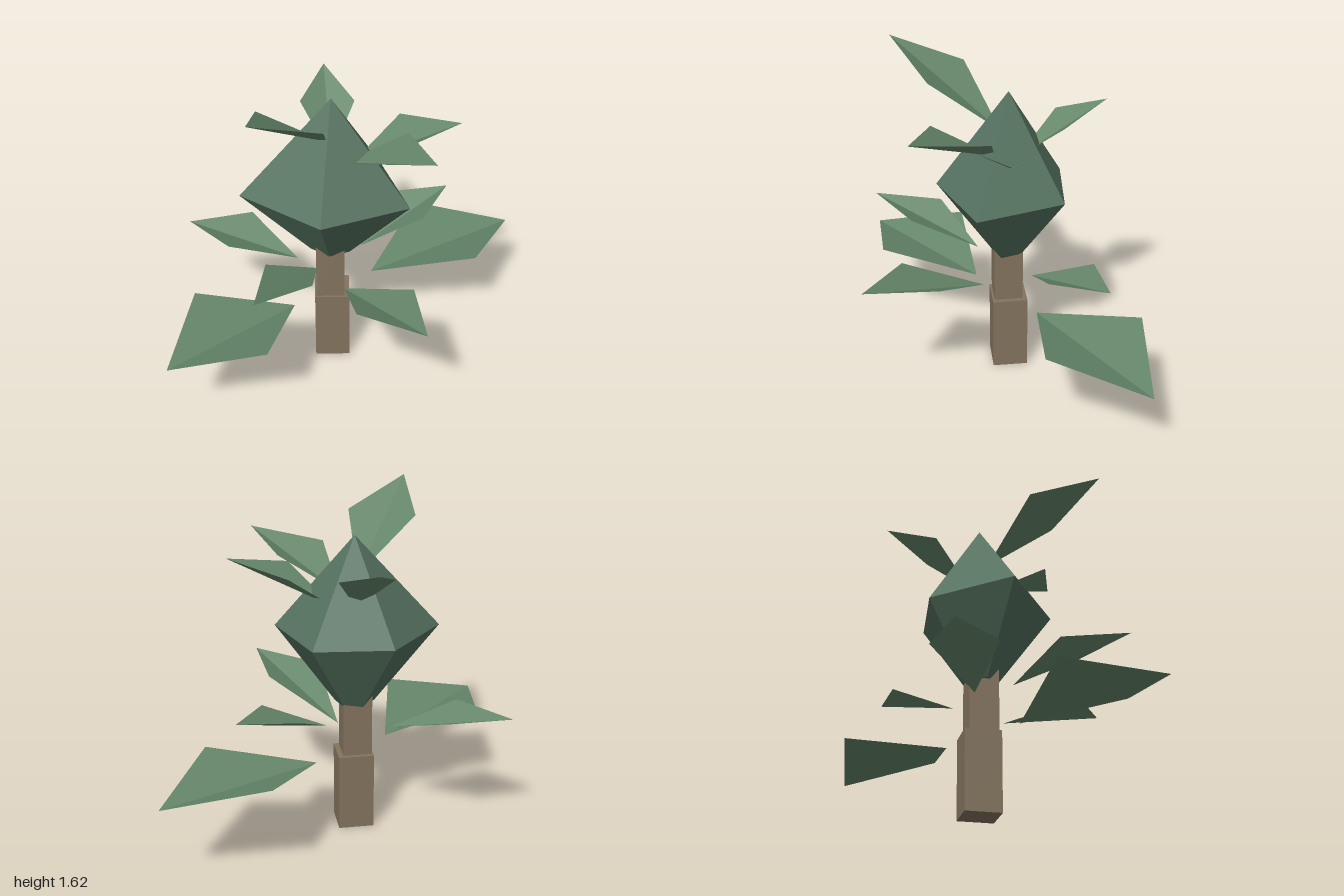
import * as THREE from 'three';
import { ConvexGeometry } from 'three/addons/geometries/ConvexGeometry.js';

const bark = new THREE.MeshStandardMaterial({ color: 0x84745f, flatShading: true });
const budGreen = new THREE.MeshStandardMaterial({ color: 0x557260, flatShading: true });
const leafGreen = new THREE.MeshStandardMaterial({ color: 0x65866a, flatShading: true, side: THREE.DoubleSide });

function addMesh(parent, name, geometry, material) {
  const mesh = new THREE.Mesh(geometry, material);
  mesh.name = name;
  parent.add(mesh);
  return mesh;
}

// Square post standing on a corner, between two heights
function addPost(parent, name, x, z, width, y0, y1) {
  const post = addMesh(parent, name, new THREE.BoxGeometry(width, y1 - y0, width), bark);
  post.position.set(x, (y0 + y1) / 2, z);
  post.rotation.y = Math.PI / 4;
}

// Kite-shaped blade folded along its midrib
function addLeaf(parent, name, base, sideA, tip, sideB) {
  const geometry = new THREE.BufferGeometry();
  const corners = [base, sideA, tip, base, tip, sideB].flat();
  geometry.setAttribute('position', new THREE.Float32BufferAttribute(corners, 3));
  geometry.computeVertexNormals();
  addMesh(parent, name, geometry, leafGreen);
}

export function createModel() {
  const model = new THREE.Group();
  model.name = 'plant';

  // Trunk
  addPost(model, 'lowerTrunk', -0.03, -0.05, 0.17, 0, 0.38);
  addPost(model, 'upperTrunk', -0.04, -0.052, 0.138, 0.38, 0.75);

  // Five-sided crown: uneven ring, pointed top, small cut-off foot
  const ring = [[0.295, -0.05], [0.09, 0.33], [-0.305, 0.15], [-0.375, -0.305], [0.06, -0.338]];
  const points = [new THREE.Vector3(-0.03, 1.45, -0.05)];
  for (const [x, z] of ring) {
    points.push(new THREE.Vector3(x, 0.98, z));
    points.push(new THREE.Vector3(-0.03 + (x + 0.03) * 0.24, 0.63, -0.05 + (z + 0.05) * 0.24));
  }
  addMesh(model, 'crown', new ConvexGeometry(points), budGreen);

  // Leaves: base, one side, tip, other side
  const leaves = {
    lowLeftLeaf: [[0.19, 0.38, 0.01], [0.53, 0.485, 0.405], [0.995, 0.4, 0.255], [0.69, 0.485, -0.13]],
    lowRightLeaf: [[-0.26, 0.38, -0.08], [-0.62, 0.495, -0.39], [-1, 0.42, -0.14], [-0.67, 0.495, 0.17]],
    middleLeftLeaf: [[0.14, 0.56, -0.015], [0.38, 0.7, 0.18], [0.655, 0.72, 0.1], [0.44, 0.7, -0.09]],
    middleRightLeaf: [[-0.18, 0.61, 0], [-0.46, 0.765, -0.05], [-0.715, 0.8, 0.15], [-0.42, 0.765, 0.21]],
    lowFrontLeaf: [[-0.08, 0.47, 0.08], [-0.325, 0.648, 0.39], [-0.245, 0.68, 0.735], [-0.02, 0.648, 0.465]],
    lowBackLeaf: [[-0.107, 0.515, -0.21], [-0.095, 0.62, -0.55], [-0.35, 0.6, -0.738], [-0.37, 0.62, -0.42]],
    topRightLeaf: [[-0.07, 1.25, -0.04], [-0.38, 1.49, -0.155], [-0.635, 1.62, 0.075], [-0.31, 1.49, 0.182]],
    topFrontLeaf: [[-0.04, 1.16, 0.04], [-0.22, 1.34, 0.27], [-0.06, 1.4, 0.588], [0.13, 1.34, 0.27]],
    topFrontLeftLeaf: [[0.03, 1.11, 0.02], [0.036, 1.29, 0.287], [0.34, 1.35, 0.4], [0.29, 1.29, 0.08]],
    topBackLeftLeaf: [[0, 1.12, -0.08], [0.22, 1.3, -0.14], [0.275, 1.38, -0.395], [0.04, 1.3, -0.32]],
  };
  for (const [name, corners] of Object.entries(leaves)) addLeaf(model, name, ...corners);

  return model;
}
